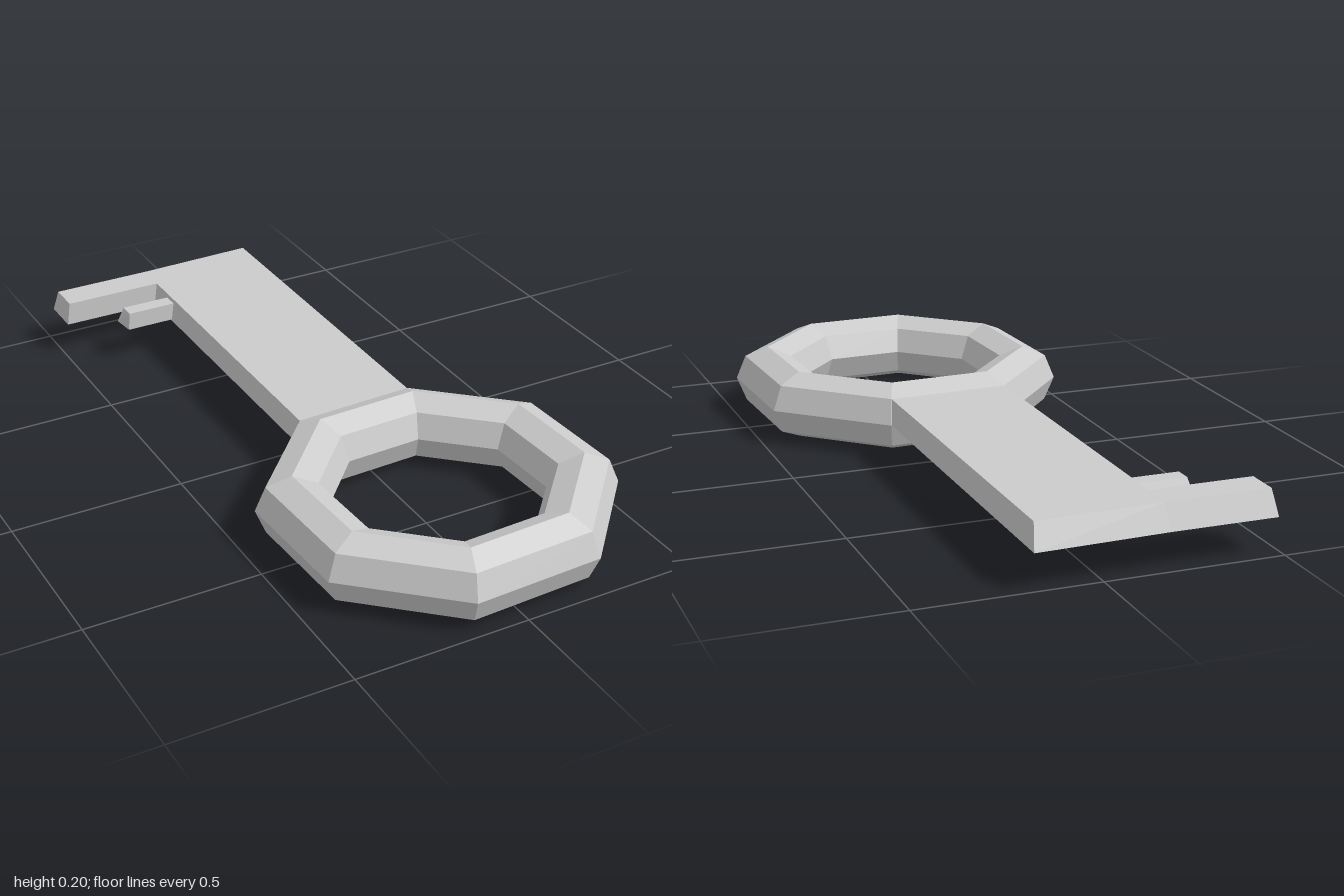
import * as THREE from 'three';

const material = new THREE.MeshStandardMaterial({ color: 0xcccccc, flatShading: true });

// Solid between two [x, z] outlines, listed counter-clockwise from above
function loft(bottom, top, y0, y1) {
  const positions = [];
  const low = i => positions.push(bottom[i][0], y0, bottom[i][1]);
  const high = i => positions.push(top[i][0], y1, top[i][1]);
  const flat = bottom.map(([x, z]) => new THREE.Vector2(x, -z));
  for (const [a, b, c] of THREE.ShapeUtils.triangulateShape(flat, [])) {
    high(a); high(b); high(c);
    low(c); low(b); low(a);
  }
  for (let i = 0; i < bottom.length; i++) {
    const j = (i + 1) % bottom.length;
    low(i); low(j); high(j);
    low(i); high(j); high(i);
  }
  const geometry = new THREE.BufferGeometry();
  geometry.setAttribute('position', new THREE.Float32BufferAttribute(positions, 3));
  geometry.computeVertexNormals();
  return geometry;
}

export function createModel() {
  const group = new THREE.Group();
  const add = (name, geometry) => {
    const mesh = new THREE.Mesh(geometry, material);
    mesh.name = name;
    group.add(mesh);
    return mesh;
  };

  // Eight-sided ring handle, turned slightly about the vertical
  const ring = new THREE.TorusGeometry(0.395, 0.1, 8, 8);
  ring.rotateZ(THREE.MathUtils.degToRad(20)).rotateX(Math.PI / 2);
  add('ringHandle', ring).position.set(0.017, 0.1, 0.531);

  // Flat shaft with the long tooth at its tip; its root sits inside the ring
  add('shaftAndLongTooth', loft(
    [[0.185, 0.14], [0.185, -1], [-0.185, -0.987], [-0.485, -0.987],
      [-0.485, -0.865], [-0.19, -0.865], [-0.19, 0.14]],
    [[0.175, 0.14], [0.175, -0.97], [-0.175, -0.96], [-0.475, -0.96],
      [-0.475, -0.865], [-0.18, -0.865], [-0.18, 0.14]],
    0.1, 0.17));

  // Short tooth, thinner than the shaft
  add('shortTooth', loft(
    [[-0.17, -0.735], [-0.17, -0.805], [-0.343, -0.805], [-0.335, -0.735]],
    [[-0.17, -0.735], [-0.17, -0.782], [-0.33, -0.782], [-0.33, -0.735]],
    0.104, 0.158));

  return group;
}
